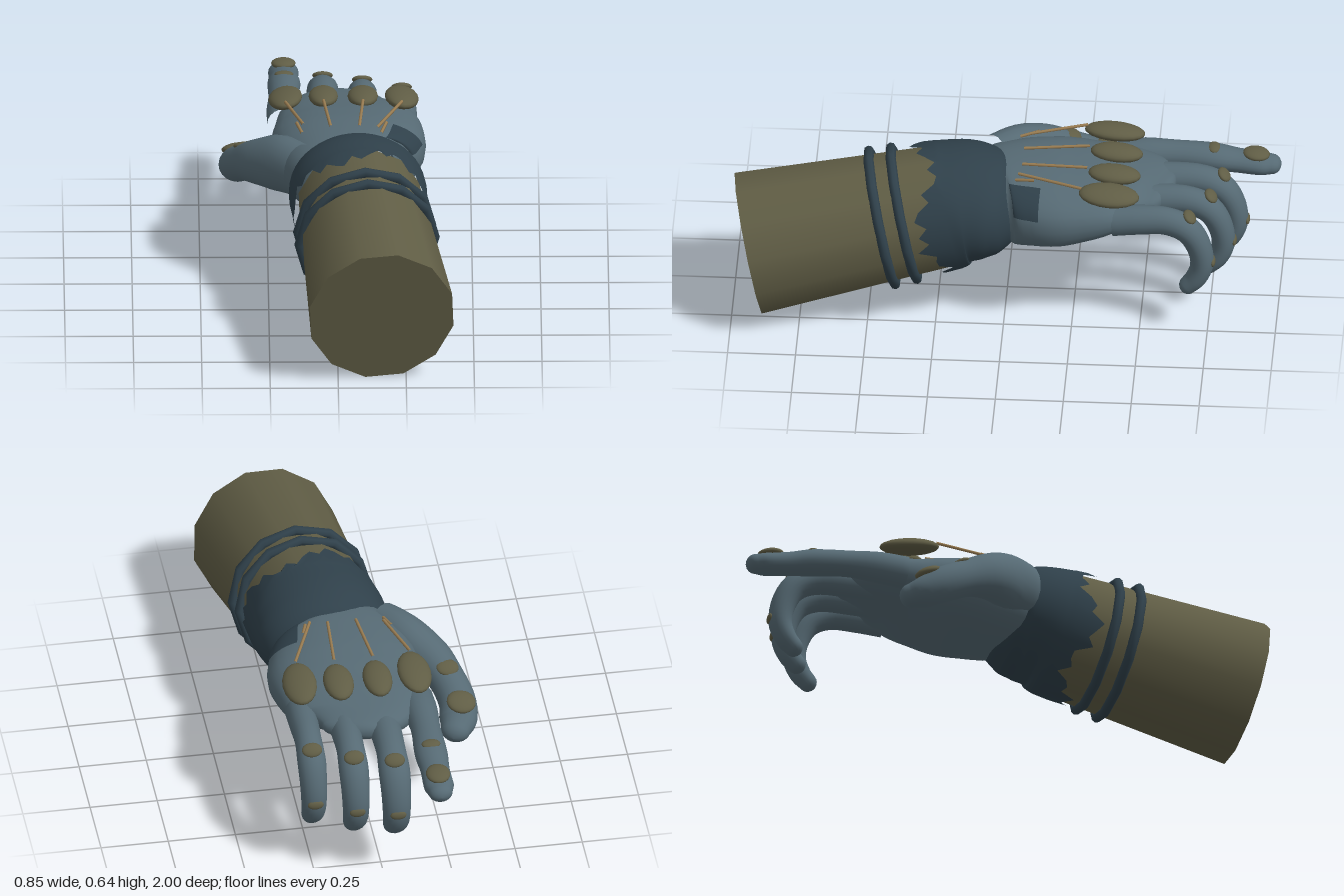
import * as THREE from 'three';

const paint = (name, color) => {
  const m = new THREE.MeshStandardMaterial({ color });
  m.name = name;
  return m;
};
const V = (x, y, z) => new THREE.Vector3(x, y, z);

// Smooth skin over elliptical sections [x, y, z, rx, ry], running towards -z
function skin(sections, { sides = 20, steps = 24, power = 1, arc = null, round = true, jag = null, range = [0, 1], grow = 0 } = {}) {
  const path = new THREE.CatmullRomCurve3(sections.map(s => V(s[0], s[1], s[2])));
  const size = new THREE.CatmullRomCurve3(sections.map(s => V(s[3], s[4] ?? s[3], 0)));
  const rings = [];
  for (let i = 0; i <= steps; i++) {
    const u = range[0] + (range[1] - range[0]) * i / steps;
    const r = size.getPoint(u);
    rings.push({ c: path.getPoint(u), t: path.getTangent(u), rx: r.x + grow, ry: r.y + grow });
  }
  if (round) { // domed end
    const e = rings[steps], depth = Math.min(e.rx, e.ry);
    for (let k = 1; k <= 5; k++) {
      const a = k / 5 * Math.PI / 2, s = Math.max(Math.cos(a), 0.001);
      rings.push({ c: e.c.clone().addScaledVector(e.t, depth * Math.sin(a)), t: e.t, rx: e.rx * s, ry: e.ry * s });
    }
  }
  const bend = v => Math.sign(v) * Math.abs(v) ** power;
  const cols = arc ? sides + 1 : sides, [a0, a1] = arc ?? [0, Math.PI * 2];
  const pos = [], index = [];
  rings.forEach((g, i) => {
    const side = V(1, 0, 0).addScaledVector(g.t, -g.t.x).normalize();
    const up = side.clone().cross(g.t);
    for (let j = 0; j < cols; j++) {
      const a = a0 + (a1 - a0) * j / sides;
      const p = g.c.clone().addScaledVector(side, g.rx * bend(Math.cos(a))).addScaledVector(up, g.ry * bend(Math.sin(a)));
      if (jag && i === 0) p.addScaledVector(g.t, -jag(j, a));
      pos.push(p.x, p.y, p.z);
      if (i < rings.length - 1 && j < sides) {
        const b = i * cols + j, n = i * cols + (j + 1) % cols;
        index.push(b, b + cols, n, n, b + cols, n + cols);
      }
    }
  });
  const geo = new THREE.BufferGeometry();
  geo.setAttribute('position', new THREE.Float32BufferAttribute(pos, 3));
  geo.setIndex(index);
  geo.computeVertexNormals();
  return geo;
}

export function createModel() {
  const model = new THREE.Group();
  model.name = 'glovedHand';
  const slate = paint('slateSkin', 0x566a74), dark = paint('darkCloth', 0x2f404a);
  const olive = paint('oliveCloth', 0x605d45), tan = paint('tanCord', 0x9a7d52);
  const add = (name, geo, mat) => {
    const m = new THREE.Mesh(geo, mat);
    m.name = name;
    model.add(m);
    return m;
  };
  // Flattened oval pad
  const pad = (name, p, r, rotX = 0, rotZ = 0) => {
    const m = add(name, new THREE.SphereGeometry(1, 18, 12), olive);
    m.position.set(...p);
    m.scale.set(...r);
    m.rotation.set(rotX, 0, rotZ);
  };

  // Forearm sleeve, twelve-sided
  const outer = V(0.16, 0.27, 0.94), inner = V(0.083, 0.42, 0.2);
  const axis = outer.clone().sub(inner), length = axis.length();
  axis.normalize();
  const turn = new THREE.Quaternion().setFromUnitVectors(V(0, 1, 0), axis);
  const sleeve = add('sleeve', new THREE.CylinderGeometry(0.272, 0.23, length, 12, 1, false, -0.1), olive);
  sleeve.position.copy(outer).lerp(inner, 0.5);
  sleeve.quaternion.copy(turn);

  // Two bands round the sleeve
  for (const [z, r] of [[0.375, 0.246], [0.455, 0.25]]) {
    const band = add('sleeveBand', new THREE.TorusGeometry(r, 0.019, 8, 12), dark);
    band.position.copy(outer).lerp(inner, (0.94 - z) / 0.74);
    band.quaternion.setFromUnitVectors(V(0, 0, 1), axis);
  }

  // Wrist wrap with a torn edge
  add('wristWrap', skin([
    [0.085, 0.415, 0.23, 0.25, 0.243], [0.078, 0.432, 0.15, 0.254, 0.218],
    [0.08, 0.435, 0.08, 0.245, 0.2], [0.08, 0.432, 0.02, 0.215, 0.178],
    [0.08, 0.43, -0.03, 0.16, 0.13], [0.08, 0.43, -0.055, 0.1, 0.07],
  ], {
    sides: 48, round: true,
    jag: (j, a) => 0.06 + 0.035 * Math.sin(j * 0.55) + 0.025 * Math.sin(j * 2.3) - 0.035 * Math.max(0, Math.sin(a)),
  }), dark);

  // Palm and back of the hand
  const palm = [
    [0.07, 0.45, 0.08, 0.17, 0.13], [0.045, 0.452, 0, 0.235, 0.148], [0.04, 0.46, -0.1, 0.27, 0.143],
    [0.045, 0.466, -0.2, 0.285, 0.135], [0.045, 0.477, -0.3, 0.277, 0.115],
    [0.04, 0.49, -0.42, 0.25, 0.085], [0.05, 0.496, -0.51, 0.2, 0.062], [0.07, 0.5, -0.57, 0.12, 0.04],
  ];
  add('palm', skin(palm, { sides: 32, steps: 32, power: 0.85 }), slate);
  add('handPatch', skin(palm, {
    sides: 12, steps: 12, power: 0.85, arc: [0.25, 1.0], range: [0.12, 0.36], round: false, grow: 0.004,
  }), dark);

  // Outstretched index finger
  add('indexFinger', skin([
    [-0.185, 0.48, -0.4, 0.066, 0.06], [-0.19, 0.49, -0.5, 0.063, 0.058], [-0.19, 0.495, -0.62, 0.055, 0.048],
    [-0.187, 0.488, -0.75, 0.061, 0.048], [-0.188, 0.475, -0.84, 0.054, 0.042],
    [-0.188, 0.466, -0.92, 0.056, 0.04], [-0.188, 0.464, -0.962, 0.045, 0.035],
  ]), slate);
  pad('fingerPad', [-0.187, 0.529, -0.75], [0.035, 0.012, 0.024], -0.1);
  pad('fingerNail', [-0.188, 0.508, -0.905], [0.045, 0.018, 0.05], -0.1);

  // Curled fingers: x, extra reach, thickness
  for (const [name, x, d, k] of [['middleFinger', -0.045, 0.11, 1.1], ['ringFinger', 0.1, 0.07, 1.04], ['littleFinger', 0.245, 0, 1]]) {
    add(name, skin([
      [x, 0.478, -0.4, 0.055 * k, 0.058], [x, 0.486, -0.5 - d * 0.5, 0.054 * k, 0.056],
      [x, 0.484, -0.6 - d, 0.05 * k, 0.052], [x, 0.45, -0.675 - d, 0.053 * k, 0.05],
      [x, 0.38, -0.718 - d, 0.05 * k, 0.046], [x, 0.3, -0.73 - d, 0.047 * k, 0.043],
      [x, 0.24, -0.708 - d, 0.044 * k, 0.039], [x, 0.207, -0.68 - d, 0.038 * k, 0.034],
    ], { steps: 30 }), slate);
    pad('fingerPad', [x, 0.505, -0.685 - d], [0.038, 0.014, 0.028], -0.65);
    pad('fingerNail', [x, 0.315, -0.77 - d], [0.03, 0.01, 0.018], -1.5);
  }

  // Thumb
  add('thumb', skin([
    [-0.13, 0.48, 0.05, 0.085, 0.1], [-0.2, 0.475, -0.03, 0.088, 0.105], [-0.285, 0.445, -0.12, 0.08, 0.085],
    [-0.335, 0.405, -0.21, 0.068, 0.068], [-0.36, 0.36, -0.3, 0.07, 0.066],
    [-0.352, 0.33, -0.36, 0.07, 0.058], [-0.335, 0.318, -0.405, 0.055, 0.045],
  ]), slate);
  pad('thumbPad', [-0.335, 0.468, -0.22], [0.042, 0.014, 0.035], -0.4, 0.1);
  pad('thumbNail', [-0.365, 0.403, -0.35], [0.055, 0.02, 0.05], -0.35, 0.15);

  // Knuckle discs and the cords leading to them
  const knuckles = [
    [-0.185, -0.385, 0.063, 0.112, 0.15, -0.12, -0.08], [-0.045, -0.4, 0.054, 0.097, 0, -0.02, -0.06],
    [0.1, -0.4, 0.056, 0.097, 0, 0.085, -0.06], [0.243, -0.388, 0.063, 0.112, -0.15, 0.15, -0.05],
  ];
  for (const [x, z, rx, rz, roll, cx, cz] of knuckles) {
    pad('knuckleDisc', [x, 0.587, z], [rx, 0.029, rz], -0.08, roll);
    const tip = V(x, 0.612, z + 0.1), cord = new THREE.LineCurve3(V(cx, 0.608, cz), tip);
    add('tendonCord', new THREE.TubeGeometry(cord, 1, 0.006, 6), tan);
  }
  for (const [x, dx] of [[-0.125, -0.02], [0.165, 0.02]]) {
    const cord = new THREE.LineCurve3(V(x, 0.59, -0.04), V(x + dx, 0.603, -0.11));
    add('shortCord', new THREE.TubeGeometry(cord, 1, 0.006, 6), tan);
  }
  return model;
}
